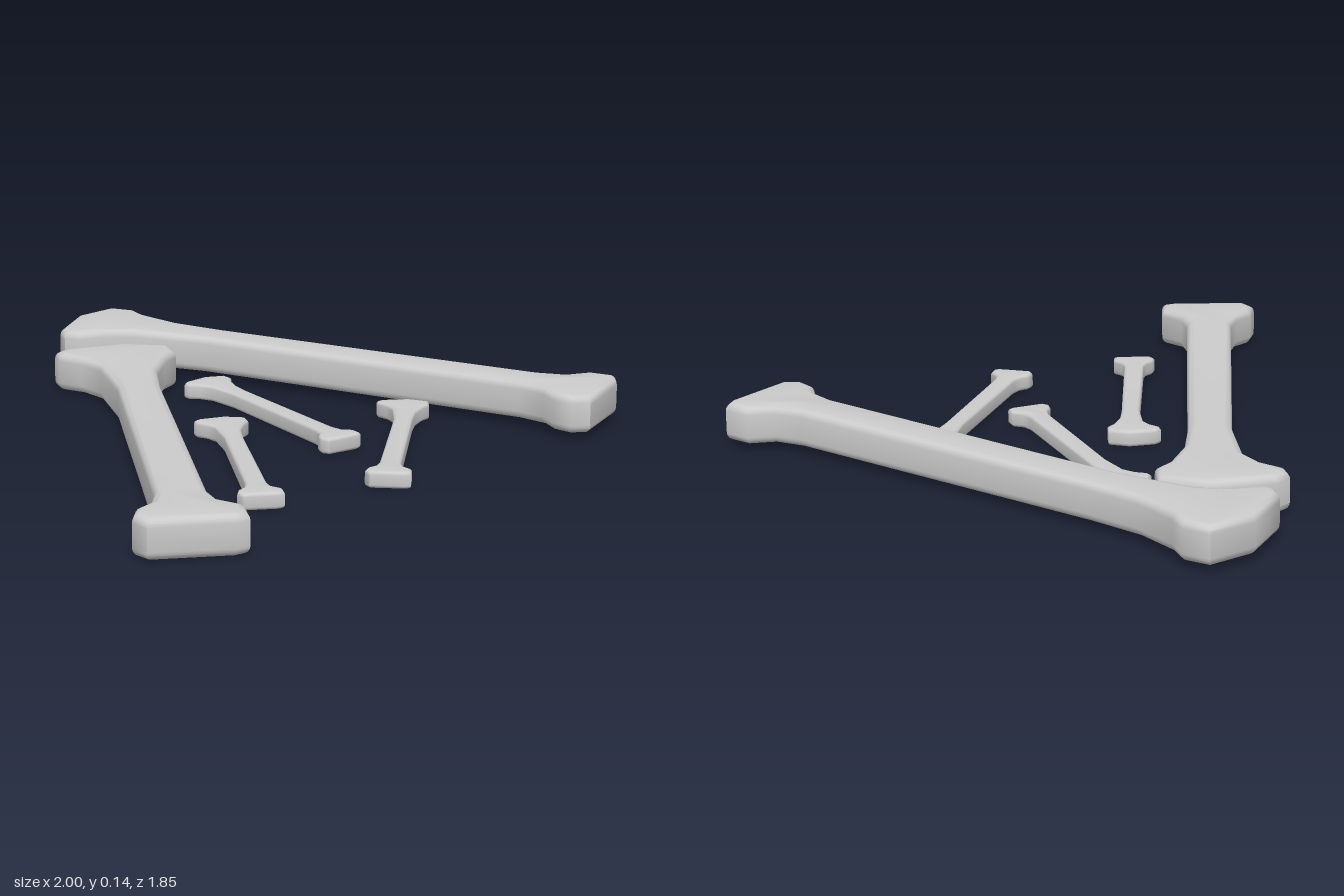
import * as THREE from 'three';
import { toCreasedNormals } from 'three/addons/utils/BufferGeometryUtils.js';

const THICKNESS = 0.118;

// Flat bone outline, knuckle end first, running clockwise
const OUTLINE = [
  [0, 1.07], [0.15, 1.03], [0.16, 0.94], [0.12, 0.88], [0.077, 0.73], [0.067, 0.55],
  [0.072, -0.55], [0.092, -0.635], [0.155, -0.69], [0.157, -0.775], [0.117, -0.795],
  [-0.12, -0.805], [-0.155, -0.755], [-0.14, -0.69], [-0.095, -0.64], [-0.074, -0.55],
  [-0.065, 0.55], [-0.095, 0.8], [-0.147, 0.885], [-0.213, 0.935], [-0.224, 0.98],
  [-0.187, 1.02], [-0.095, 1.045],
];

// Bone slab with rounded edges, lying on y = 0 and pointing to -z
function boneGeometry() {
  const shape = new THREE.Shape(OUTLINE.map(([x, y]) => new THREE.Vector2(x, y)));
  const bevel = 0.024;
  const geometry = new THREE.ExtrudeGeometry(shape, {
    depth: THICKNESS - 2 * bevel,
    bevelThickness: bevel,
    bevelSize: bevel,
    bevelOffset: -bevel,
    bevelSegments: 4,
  });
  geometry.translate(0, 0, bevel);
  geometry.rotateX(-Math.PI / 2);
  return toCreasedNormals(geometry, Math.PI / 3.2);
}

export function createModel() {
  const group = new THREE.Group();
  group.name = 'bonePile';
  const geometry = boneGeometry();
  const material = new THREE.MeshStandardMaterial({ color: 0xcccccc });

  // name, position, turn about y, scale
  const bones = [
    ['largeBoneRight', [-0.38, 0.003, 0.193], -0.71, 1],
    ['largeBoneLeft', [0.675, 0.021, 0.105], 0.224, 1],
    ['smallBoneRight', [-0.226, 0, 0.387], -0.71, 0.426],
    ['smallBoneBack', [0.243, 0, 0.124], -0.291, 0.426],
    ['smallBoneFront', [0.226, 0, 0.586], -0.977, 0.426],
  ];
  for (const [name, position, turn, scale] of bones) {
    const bone = new THREE.Mesh(geometry, material);
    bone.name = name;
    bone.position.set(...position);
    bone.rotation.y = turn;
    bone.scale.setScalar(scale);
    group.add(bone);
  }
  return group;
}
